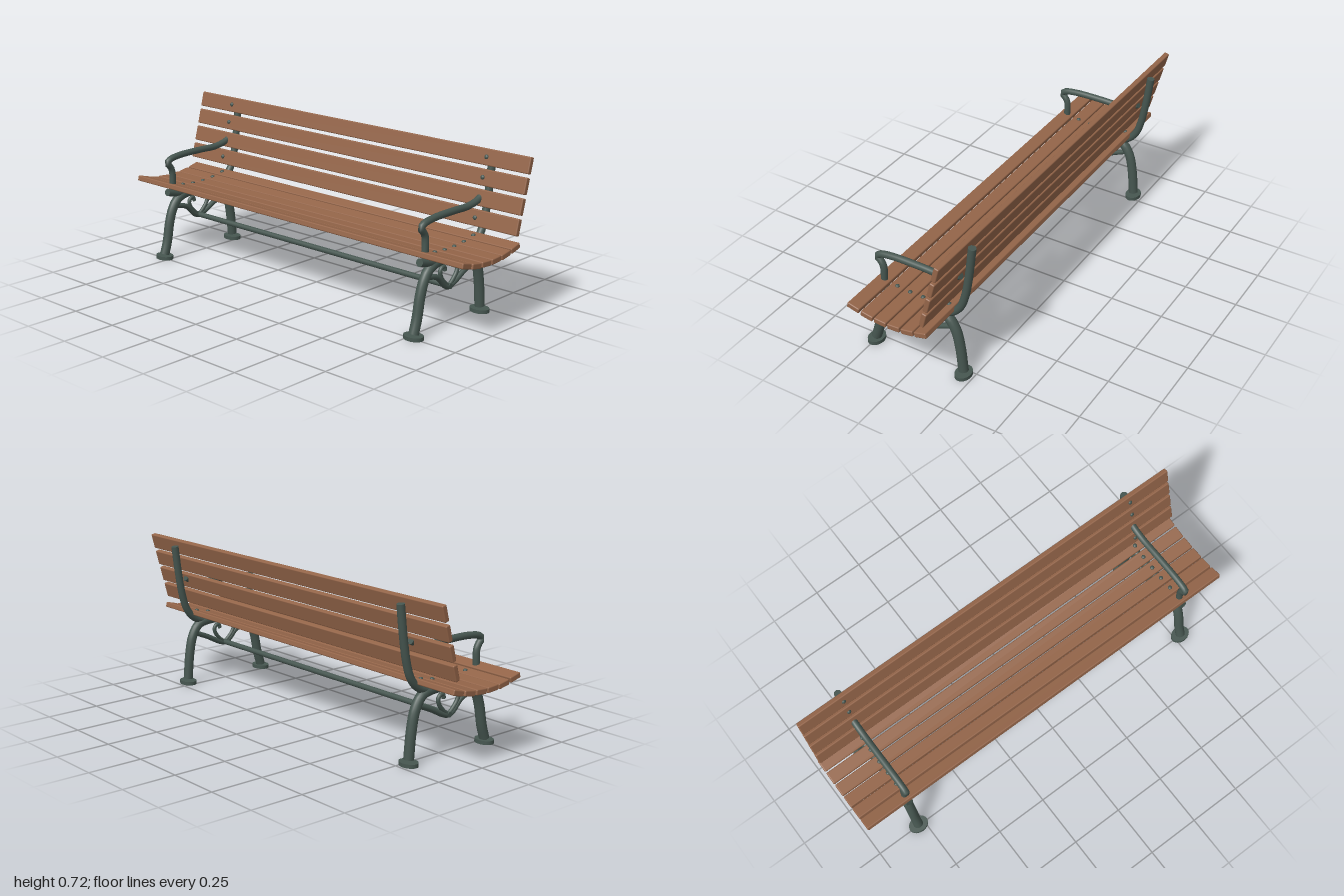
import * as THREE from 'three';
import { mergeGeometries } from 'three/addons/utils/BufferGeometryUtils.js';
import { RoundedBoxGeometry } from 'three/addons/geometries/RoundedBoxGeometry.js';

const wood = new THREE.MeshStandardMaterial({ color: 0x946549 });
wood.name = 'brownWood';
const metal = new THREE.MeshStandardMaterial({ color: 0x465650 });
metal.name = 'greenIron';

const SIDE_X = 0.78;

function add(parent, name, geometry, material) {
  const mesh = new THREE.Mesh(geometry, material);
  mesh.name = name;
  parent.add(mesh);
  return mesh;
}

// Capped round bar through [z, y] points in the side plane
function bar(points, radius, segments = 28) {
  const curve = new THREE.CatmullRomCurve3(points.map(([z, y]) => new THREE.Vector3(0, y, z)));
  const parts = [new THREE.TubeGeometry(curve, segments, radius, 16)];
  for (const t of [0, 1]) {
    const dir = curve.getTangentAt(t).multiplyScalar(t ? 1 : -1);
    const turn = new THREE.Quaternion().setFromUnitVectors(new THREE.Vector3(0, 0, 1), dir);
    const p = curve.getPointAt(t);
    parts.push(new THREE.CircleGeometry(radius, 16).applyQuaternion(turn).translate(p.x, p.y, p.z));
  }
  return mergeGeometries(parts);
}

// Slat with a bolt head at each iron frame; the bolts sit on the given local axis
function slat(name, z, y, degrees, height, depth, boltAxis) {
  const group = new THREE.Group();
  group.name = name;
  group.position.set(0, y, z);
  group.rotation.x = THREE.MathUtils.degToRad(degrees);
  add(group, 'board', new RoundedBoxGeometry(2, height, depth, 2, 0.005), wood);
  for (const s of [-1, 1]) {
    const bolt = add(group, 'bolt', new THREE.SphereGeometry(0.01, 12, 8), metal);
    bolt.position.set(s * SIDE_X, 0, 0);
    bolt.position[boltAxis] = 0.0125;
    bolt.scale[boltAxis] = 0.7;
  }
  return group;
}

function ironFrame() {
  const g = new THREE.Group();
  g.name = 'ironFrame';
  // Arched pair of legs
  add(g, 'legs', bar([
    [0.247, 0.02], [0.228, 0.08], [0.208, 0.18], [0.186, 0.24], [0.155, 0.28], [0.1, 0.3],
    [0.02, 0.302], [-0.08, 0.302], [-0.135, 0.288], [-0.172, 0.235], [-0.192, 0.15], [-0.205, 0.026],
  ], 0.0225, 40), metal);
  // Seat rail sweeping up into the back support
  add(g, 'seatRailAndBackSupport', bar([
    [0.218, 0.324], [0.14, 0.307], [0.02, 0.3], [-0.09, 0.303], [-0.155, 0.322],
    [-0.2, 0.37], [-0.225, 0.44], [-0.245, 0.55], [-0.263, 0.692],
  ], 0.0175, 40), metal);
  // Armrest
  add(g, 'armrest', bar([
    [0.184, 0.345], [0.184, 0.425], [0.194, 0.447], [0.212, 0.468], [0.198, 0.483],
    [0.136, 0.495], [-0.008, 0.498], [-0.094, 0.497], [-0.16, 0.509], [-0.205, 0.531],
  ], 0.0155, 36), metal);
  // Brace between the legs
  add(g, 'brace', bar([
    [0.17, 0.25], [0.098, 0.23], [0.045, 0.18], [0.02, 0.171], [-0.01, 0.179],
    [-0.08, 0.215], [-0.16, 0.25],
  ], 0.0125), metal);
  // Heart-shaped pair of scrolls
  for (const s of [-1, 1]) {
    add(g, 'scroll', bar([
      [0, 0.172], [0.028, 0.195], [0.051, 0.222], [0.06, 0.248], [0.05, 0.266],
      [0.034, 0.268], [0.027, 0.25],
    ].map(([z, y]) => [0.02 + s * z, y]), 0.0095), metal);
  }
  // Oval foot plates
  for (const z of [0.247, -0.205]) {
    const foot = add(g, 'foot', new THREE.CylinderGeometry(1, 1, 0.017, 24), metal);
    foot.scale.set(0.047, 1, 0.036);
    foot.position.set(0, 0.0085, z);
  }
  return g;
}

export function createModel() {
  const bench = new THREE.Group();
  bench.name = 'parkBench';

  for (const s of [-1, 1]) {
    const frame = ironFrame();
    frame.position.x = s * SIDE_X;
    bench.add(frame);
  }

  // Long bar tying both frames together
  const tie = add(bench, 'crossbar', new THREE.CylinderGeometry(0.0125, 0.0125, 2 * SIDE_X + 0.025, 16), metal);
  tie.rotation.z = Math.PI / 2;
  tie.position.set(0, 0.174, 0.02);

  // Dished seat: z, y, tilt
  for (const [z, y, tilt] of [
    [0.187, 0.35, -14], [0.12, 0.334, -10], [0.054, 0.328, -4],
    [-0.013, 0.328, 4], [-0.08, 0.334, 10], [-0.146, 0.348, 15],
  ]) bench.add(slat('seatSlat', z, y, tilt, 0.025, 0.06, 'y'));

  // Reclined backrest
  for (let i = 0; i < 4; i++) {
    bench.add(slat('backSlat', -0.162 - i * 0.0227, 0.433 + i * 0.0843, -15, 0.072, 0.024, 'z'));
  }
  return bench;
}
